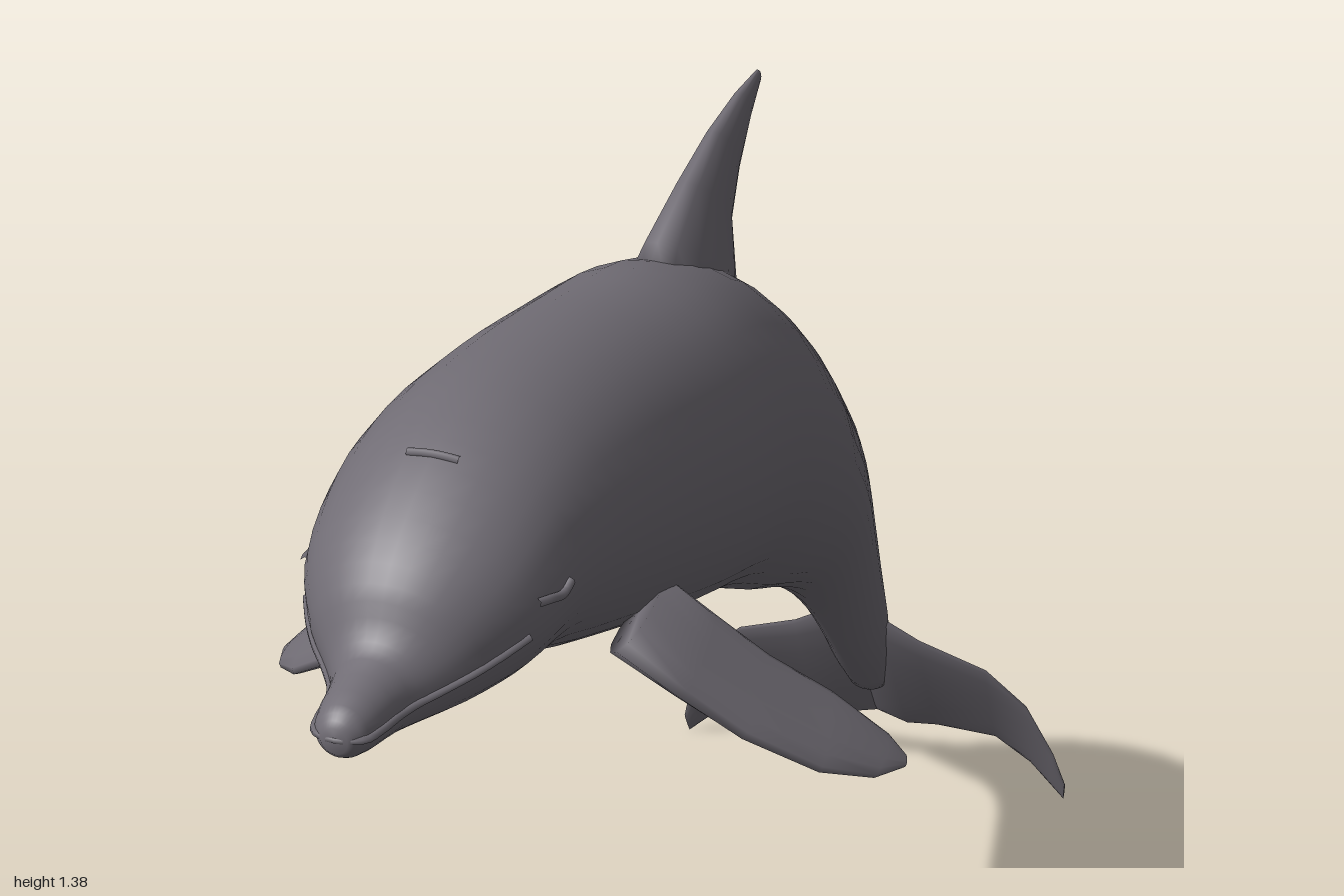
import * as THREE from 'three';

const skin = new THREE.MeshStandardMaterial({ color: 0x716d75 });
skin.name = 'grey skin';

// Joins closed rings of points into a smooth, capped solid
function loft(rings) {
  const n = rings[0].length, pos = [], idx = [];
  rings.forEach(r => r.forEach(p => pos.push(p.x, p.y, p.z)));
  for (let i = 0; i < rings.length - 1; i++) {
    for (let j = 0; j < n; j++) {
      const a = i * n + j, b = i * n + (j + 1) % n;
      idx.push(a, b, a + n, b, b + n, a + n);
    }
  }
  [0, rings.length - 1].forEach(i => {
    const c = rings[i].reduce((s, p) => s.add(p), new THREE.Vector3()).divideScalar(n);
    const k = pos.length / 3;
    pos.push(c.x, c.y, c.z);
    for (let j = 0; j < n; j++) {
      const a = i * n + j, b = i * n + (j + 1) % n;
      if (i === 0) idx.push(k, b, a); else idx.push(k, a, b);
    }
  });
  // Turn the faces outwards when the volume comes out negative
  const v = k => new THREE.Vector3().fromArray(pos, k * 3);
  let volume = 0;
  for (let k = 0; k < idx.length; k += 3) volume += v(idx[k]).dot(v(idx[k + 1]).cross(v(idx[k + 2])));
  if (volume < 0) idx.reverse();
  const g = new THREE.BufferGeometry();
  g.setAttribute('position', new THREE.Float32BufferAttribute(pos, 3));
  g.setIndex(idx);
  g.computeVertexNormals();
  return g;
}

function part(name, geometry) {
  const m = new THREE.Mesh(geometry, skin);
  m.name = name;
  return m;
}

// Body sections from snout to tail: back z, y, belly z, y, half width
const sections = [
  [0.997, 1.122, 0.997, 1.09, 0.016],
  [0.975, 1.14, 0.98, 1.077, 0.032],
  [0.9, 1.158, 0.9, 1.062, 0.048],
  [0.875, 1.178, 0.86, 1.055, 0.068],
  [0.85, 1.225, 0.8, 1.045, 0.105],
  [0.79, 1.278, 0.72, 1.037, 0.143],
  [0.69, 1.33, 0.63, 1.025, 0.16],
  [0.57, 1.35, 0.52, 0.98, 0.172],
  [0.4, 1.34, 0.35, 0.915, 0.182],
  [0.2, 1.31, 0.13, 0.835, 0.19],
  [0.03, 1.28, -0.08, 0.765, 0.188],
  [-0.13, 1.215, -0.27, 0.67, 0.175],
  [-0.29, 1.11, -0.42, 0.6, 0.15],
  [-0.45, 0.98, -0.55, 0.53, 0.12],
  [-0.62, 0.83, -0.66, 0.45, 0.09],
  [-0.73, 0.68, -0.74, 0.375, 0.07],
  [-0.82, 0.52, -0.82, 0.285, 0.056],
  [-0.885, 0.36, -0.875, 0.225, 0.05],
  [-0.945, 0.2, -0.925, 0.17, 0.03],
];
const last = sections.length - 1;
const back = new THREE.CatmullRomCurve3(sections.map(s => new THREE.Vector3(0, s[1], s[0])));
const belly = new THREE.CatmullRomCurve3(sections.map(s => new THREE.Vector3(s[4], s[3], s[2])));

// Point on the skin at a section number and an angle (0 = left side, PI/2 = back)
function bodyPoint(i, angle) {
  const t = back.getPoint(i / last), b = belly.getPoint(i / last);
  const k = (Math.sin(angle) + 1) / 2;
  return new THREE.Vector3(b.x * Math.cos(angle), b.y + (t.y - b.y) * k, b.z + (t.z - b.z) * k);
}

// Fin stations: leading point, trailing point, half thickness
function fin(name, stations, normal, side = 1) {
  const n = new THREE.Vector3(...normal).normalize(), count = 14;
  const rings = stations.map(([lead, trail, thick]) => {
    const a = new THREE.Vector3(...lead), b = new THREE.Vector3(...trail), ring = [];
    for (let j = 0; j < count; j++) {
      const w = j / count * Math.PI * 2, u = (1 - Math.cos(w)) / 2;
      // Rounded in front, thin towards the trailing edge
      const p = a.clone().lerp(b, u).addScaledVector(n, thick * Math.sin(w) * (1.25 - 0.7 * u));
      p.x *= side;
      ring.push(p);
    }
    return ring;
  });
  return part(name, loft(rings));
}

export function createModel() {
  const dolphin = new THREE.Group();
  dolphin.name = 'dolphin';

  // Body with beak and tail stock
  const rings = [];
  for (let i = 0; i <= last * 3; i++) {
    const ring = [];
    for (let j = 0; j < 32; j++) ring.push(bodyPoint(i / 3, j / 32 * Math.PI * 2));
    rings.push(ring);
  }
  dolphin.add(part('body', loft(rings)));

  // Dorsal fin
  dolphin.add(fin('dorsalFin', [
    [[0, 1.25, 0.06], [0, 1.06, -0.29], 0.06],
    [[0, 1.293, 0], [0, 1.13, -0.283], 0.042],
    [[0, 1.335, -0.1], [0, 1.22, -0.268], 0.028],
    [[0, 1.368, -0.2], [0, 1.28, -0.3], 0.018],
    [[0, 1.385, -0.3], [0, 1.335, -0.345], 0.011],
    [[0, 1.39, -0.375], [0, 1.37, -0.385], 0.004],
  ], [1, 0, 0]));

  for (const side of [1, -1]) {
    const word = side > 0 ? 'left' : 'right';

    // Flipper
    dolphin.add(fin(word + 'Flipper', [
      [[0.13, 0.98, 0.485], [0.13, 1.01, 0.33], 0.035],
      [[0.2, 0.915, 0.455], [0.2, 0.97, 0.335], 0.022],
      [[0.27, 0.86, 0.43], [0.26, 0.91, 0.305], 0.016],
      [[0.35, 0.8, 0.375], [0.33, 0.855, 0.27], 0.012],
      [[0.4, 0.767, 0.31], [0.395, 0.79, 0.238], 0.009],
      [[0.422, 0.757, 0.255], [0.418, 0.765, 0.238], 0.004],
    ], [0.6, 0.52, 0.26], side));

    // Tail fluke
    dolphin.add(fin(word + 'Fluke', [
      [[0, 0.36, -0.86], [0, 0.1, -0.99], 0.03],
      [[0.05, 0.335, -0.858], [0.05, 0.086, -0.99], 0.024],
      [[0.1, 0.3, -0.875], [0.1, 0.092, -0.99], 0.018],
      [[0.2, 0.255, -0.9], [0.195, 0.09, -0.99], 0.013],
      [[0.26, 0.19, -0.925], [0.255, 0.058, -0.985], 0.01],
      [[0.3, 0.1, -0.95], [0.288, 0.028, -0.982], 0.008],
      [[0.316, 0.04, -0.968], [0.312, 0.006, -0.98], 0.004],
    ], [0, 0.42, 0.91], side));

    // Eyelid
    const lid = [[5.05, 0.2], [5.25, 0.12], [5.5, 0.03], [5.7, 0.06]].map(([i, a]) => {
      const p = bodyPoint(i, a);
      p.x *= side;
      return p;
    });
    dolphin.add(part(word + 'Eyelid',
      new THREE.TubeGeometry(new THREE.CatmullRomCurve3(lid), 12, 0.006, 6)));
  }

  // Lip line running round the beak from corner to corner
  const lip = [];
  for (let i = 4.8; i > 0.3; i -= 0.5) lip.push(bodyPoint(i, -0.08));
  const mirrored = lip.map(p => new THREE.Vector3(-p.x, p.y, p.z)).reverse();
  const lipPath = new THREE.CatmullRomCurve3([...lip, new THREE.Vector3(0, 1.107, 0.994), ...mirrored]);
  dolphin.add(part('lipLine', new THREE.TubeGeometry(lipPath, 60, 0.005, 6)));

  // Blowhole rim on top of the head
  const rim = [-0.2, -0.1, 0, 0.1, 0.2].map(a => bodyPoint(5.8, Math.PI / 2 + a));
  dolphin.add(part('blowhole', new THREE.TubeGeometry(new THREE.CatmullRomCurve3(rim), 10, 0.005, 6)));

  return dolphin;
}
